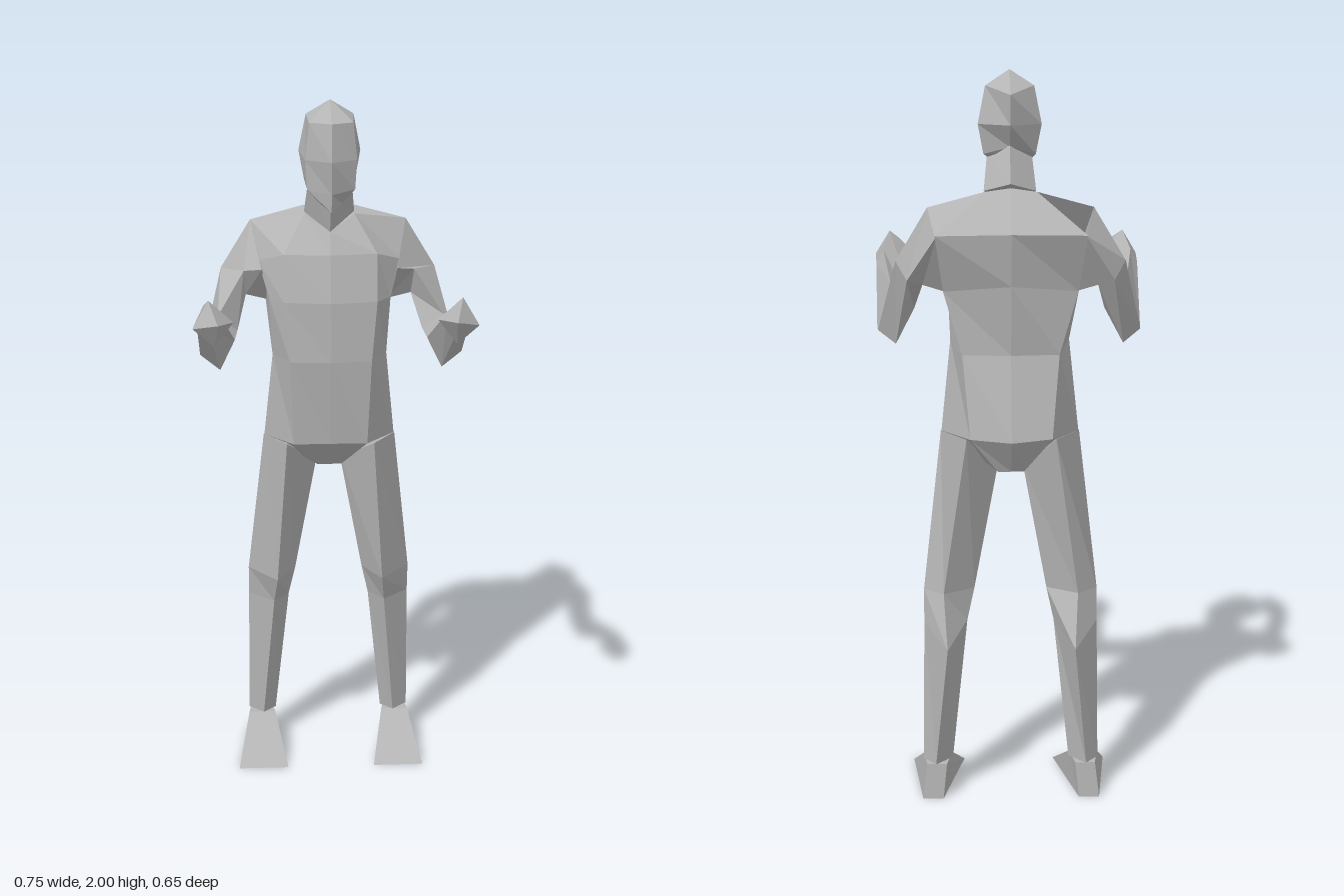
import * as THREE from 'three';

const skin = new THREE.MeshStandardMaterial({ color: 0xb4b4b4, flatShading: true });
skin.name = 'plain grey';

// Skins a stack of cross-sections, listed from the upper end to the lower end.
// Each section runs front, +x side, back, -x side. Both ends are closed.
function loft(name, rings) {
  const pos = [];
  const tri = (...pts) => pts.forEach((p) => pos.push(...p));
  const n = rings[0].length;
  const middle = (ring) => [0, 1, 2].map((k) => ring.reduce((s, p) => s + p[k], 0) / n);
  const last = rings.length - 1;
  const top = middle(rings[0]), bottom = middle(rings[last]);
  for (let j = 0; j < n; j++) {
    const k = (j + 1) % n;
    for (let i = 0; i < last; i++) {
      const a = rings[i][j], b = rings[i + 1][j], c = rings[i + 1][k], d = rings[i][k];
      tri(a, b, c);
      tri(a, c, d);
    }
    tri(top, rings[0][j], rings[0][k]);
    tri(bottom, rings[last][k], rings[last][j]);
  }
  const geo = new THREE.BufferGeometry();
  geo.setAttribute('position', new THREE.Float32BufferAttribute(pos, 3));
  geo.computeVertexNormals();
  const mesh = new THREE.Mesh(geo, skin);
  mesh.name = name;
  return mesh;
}

// Completes a half section that runs from centre front to centre back.
const whole = (half) => [
  ...half,
  ...half.slice(1, -1).reverse().map(([x, y, z]) => [-x, y, z]),
];

// Reflects the sections of a limb to the other side of the body.
const mirrored = (rings) => rings.map((r) => r.map(([x, y, z]) => [-x, y, z]).reverse());

const head = [
  [[0, 2, -0.1], [0.002, 2, -0.1], [0.002, 2, -0.102], [0, 2, -0.102]],
  [[0, 1.95, 0], [0.06, 1.95, -0.03], [0.065, 1.96, -0.12], [0, 1.94, -0.2]],
  [[0, 1.85, 0.018], [0.07, 1.85, -0.03], [0.085, 1.86, -0.13], [0, 1.86, -0.19]],
  [[0, 1.76, 0], [0.065, 1.77, -0.03], [0.07, 1.78, -0.12], [0, 1.8, -0.145]],
  [[0, 1.71, -0.005], [0.03, 1.73, -0.04], [0.04, 1.76, -0.09], [0, 1.78, -0.13]],
];

const neck = [
  [[0, 1.75, -0.05], [0.06, 1.78, -0.1], [0, 1.81, -0.145]],
  [[0, 1.64, -0.088], [0.07, 1.685, -0.15], [0, 1.71, -0.212]],
];

const torso = [
  [[0, 1.64, -0.09], [0.07, 1.68, -0.14], [0.22, 1.65, -0.215], [0.07, 1.69, -0.215], [0, 1.7, -0.217]],
  [[0, 1.58, -0.06], [0.13, 1.58, -0.075], [0.2, 1.55, -0.14], [0.2, 1.585, -0.296], [0, 1.59, -0.315]],
  [[0, 1.45, -0.03], [0.13, 1.45, -0.05], [0.17, 1.45, -0.1], [0.18, 1.43, -0.24], [0, 1.45, -0.29]],
  [[0, 1.28, -0.03], [0.115, 1.28, -0.04], [0.162, 1.28, -0.13], [0.13, 1.26, -0.25], [0, 1.26, -0.262]],
  [[0, 1.03, -0.06], [0.105, 1.03, -0.06], [0.188, 1.03, -0.155], [0.11, 1.04, -0.3], [0, 1.035, -0.325]],
  [[0, 0.94, -0.14], [0.035, 0.94, -0.14], [0.04, 0.945, -0.2], [0.035, 0.94, -0.26], [0, 0.94, -0.26]],
];

// Shoulder, upper arm, two elbow sections, wrist, palm, fingertip
const arm = [
  [[0.19, 1.53, -0.11], [0.22, 1.65, -0.215], [0.195, 1.585, -0.296], [0.165, 1.42, -0.2]],
  [[0.24, 1.52, -0.14], [0.305, 1.51, -0.225], [0.275, 1.46, -0.245], [0.235, 1.44, -0.19]],
  [[0.315, 1.41, -0.06], [0.36, 1.3, -0.095], [0.31, 1.268, -0.13], [0.26, 1.36, -0.1]],
  [[0.325, 1.42, -0.04], [0.365, 1.31, -0.03], [0.31, 1.265, -0.03], [0.268, 1.35, -0.035]],
  [[0.35, 1.49, 0.115], [0.37, 1.45, 0.12], [0.34, 1.43, 0.125], [0.305, 1.46, 0.115]],
  [[0.335, 1.53, 0.215], [0.377, 1.46, 0.24], [0.32, 1.41, 0.24], [0.27, 1.47, 0.215]],
  [[0.31, 1.492, 0.322], [0.312, 1.49, 0.322], [0.31, 1.488, 0.322], [0.308, 1.49, 0.322]],
];

// Hip, knee, calf, ankle
const leg = [
  [[0.125, 1.03, -0.06], [0.19, 1.03, -0.155], [0.12, 1.04, -0.3], [0.035, 0.94, -0.2]],
  [[0.155, 0.59, -0.1], [0.24, 0.59, -0.205], [0.185, 0.59, -0.255], [0.1, 0.59, -0.2]],
  [[0.165, 0.5, -0.153], [0.24, 0.5, -0.22], [0.175, 0.45, -0.325], [0.12, 0.5, -0.21]],
  [[0.2, 0.1, -0.205], [0.245, 0.1, -0.245], [0.21, 0.1, -0.29], [0.163, 0.1, -0.24]],
];

// Ankle, sole
const foot = [
  [[0.165, 0.1, -0.208], [0.245, 0.1, -0.208], [0.235, 0.1, -0.288], [0.18, 0.1, -0.288]],
  [[0.13, 0, -0.033], [0.278, 0, -0.033], [0.247, 0, -0.297], [0.19, 0, -0.297]],
];

export function createModel() {
  const group = new THREE.Group();
  group.name = 'figure';
  group.add(
    loft('head', head.map(whole)),
    loft('neck', neck.map(whole)),
    loft('torso', torso.map(whole)),
  );
  for (const [name, rings] of Object.entries({ Arm: arm, Leg: leg, Foot: foot })) {
    group.add(loft('left' + name, rings), loft('right' + name, mirrored(rings)));
  }
  return group;
}
